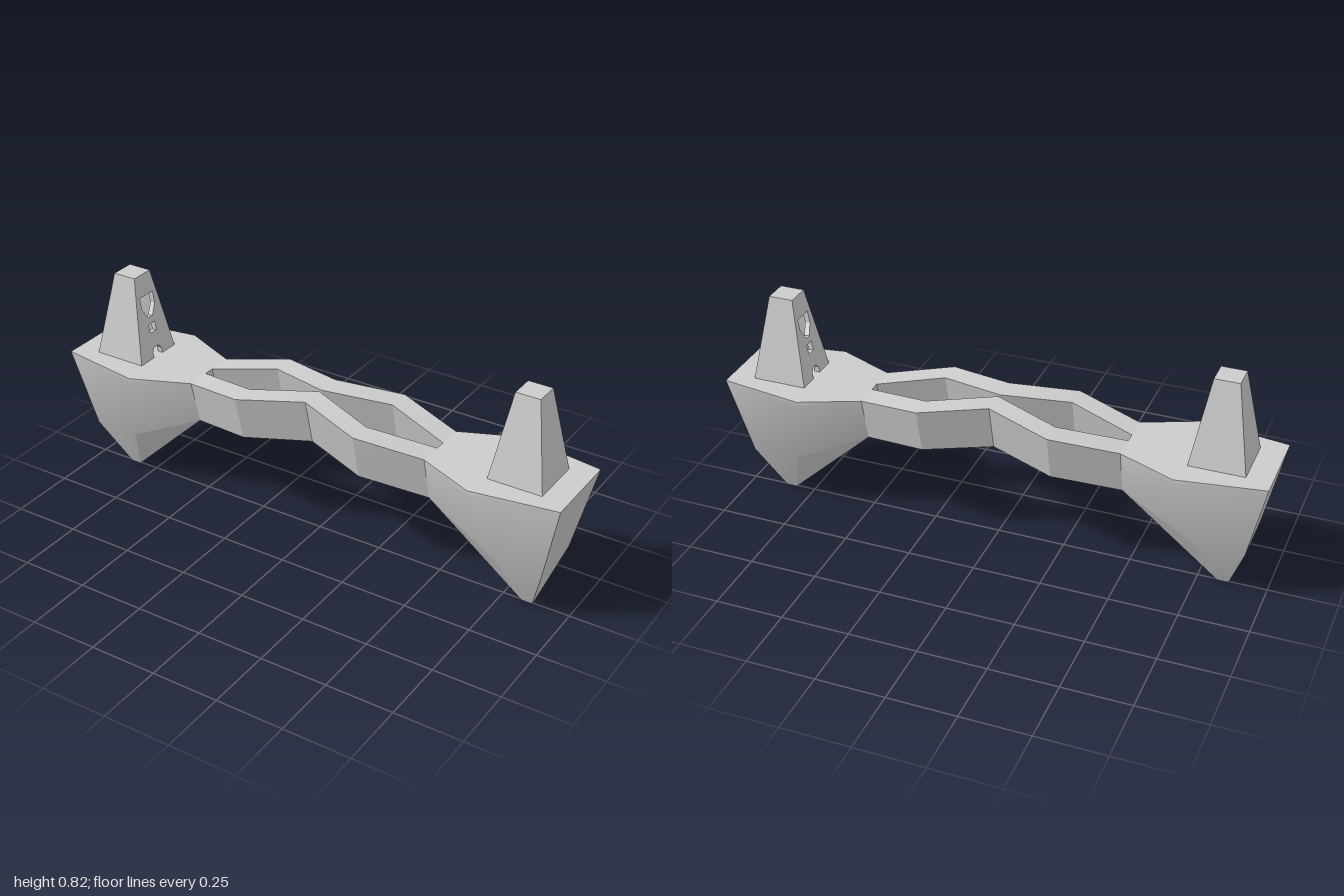
import * as THREE from 'three';
import { toCreasedNormals } from 'three/addons/utils/BufferGeometryUtils.js';

const material = new THREE.MeshStandardMaterial({ color: 0xcccccc, side: THREE.DoubleSide });
const DECK = 0.505;

// Mesh from a list of triangles, keeping sharp edges above the crease angle
function facetMesh(name, triangles, crease = 0.6) {
  const geometry = new THREE.BufferGeometry();
  geometry.setAttribute('position', new THREE.Float32BufferAttribute(triangles.flat(2), 3));
  const mesh = new THREE.Mesh(toCreasedNormals(geometry, crease), material);
  mesh.name = name;
  return mesh;
}

const quad = (a, b, c, d) => [[a, b, c], [a, c, d]];
const flip = ([x, y, z]) => [x, y, -z];
const mirrored = (triangles) =>
  [...triangles, ...triangles.map(([a, b, c]) => [flip(a), flip(c), flip(b)])];
// Strip across z between an edge and its mirror image
const across = (a, b) => quad(a, flip(a), flip(b), b);

// Floating rock: two mirrored flanks, a deck, an outer end and an overhanging underside
function createIsland() {
  const p0 = [1, DECK, 0.152], p1 = [0.69, DECK, 0.2], p2 = [0.48, DECK, 0.11];
  const lip = [0.69, 0.487, 0.2], p3 = [0.48, 0.33, 0.065];
  const q0 = [0.932, 0.2, 0.104], q1 = [0.757, 0.2, 0.104];
  const t0 = [0.863, 0, 0.006], t1 = [0.823, 0, 0.006];
  const island = new THREE.Group();
  island.name = 'island';
  island.add(
    facetMesh('islandFlanks', mirrored([
      [p0, p1, lip], [p0, lip, q0], [lip, q1, q0], [lip, p3, q1],
      [p1, p2, lip], [p2, p3, lip], ...quad(q0, q1, t1, t0),
    ]), 0.8),
    facetMesh('islandDeck', [...across(p0, p1), ...across(p1, p2)]),
    facetMesh('islandOuterEnd', [...across(t0, q0), ...across(q0, p0)]),
    facetMesh('islandUnderside', [
      ...mirrored([[p3, t1, q1]]),
      ...across(p2, p3), ...across(p3, t1), ...across(t1, t0),
    ], 0.2),
  );
  return island;
}

// Hollow tapered tower with openings in the face towards the bridge
function createTower() {
  const tower = new THREE.Group();
  tower.name = 'tower';
  const cx = 0.81, top = 0.82, wide = 0.1, narrow = 0.045;
  const corner = (sx, sz, up) => {
    const r = up ? narrow : wide;
    return [cx + sx * r, up ? top : DECK, sz * r];
  };
  const side = (a, b) => quad(corner(...a, 0), corner(...b, 0), corner(...b, 1), corner(...a, 1));
  tower.add(facetMesh('towerWalls', [
    ...side([-1, 1], [1, 1]),
    ...side([1, 1], [1, -1]),
    ...side([1, -1], [-1, -1]),
    ...quad(corner(-1, 1, 1), corner(1, 1, 1), corner(1, -1, 1), corner(-1, -1, 1)),
  ], 0.1));

  // Pierced wall, drawn flat and then leaned into place
  const height = Math.hypot(top - DECK, wide - narrow);
  const outline = (points) => points.map(([x, y]) => new THREE.Vector2(x, y));
  const face = new THREE.Shape(outline([
    [-wide, 0], [-0.025, 0], [-0.025, 0.022], [-0.012, 0.037], [0.012, 0.037],
    [0.025, 0.022], [0.025, 0], [wide, 0], [narrow, height], [-narrow, height],
  ]));
  face.holes.push(
    new THREE.Path(outline([[-0.037, 0.195], [-0.037, 0.24], [0.037, 0.24],
      [0.037, 0.195], [0.012, 0.155], [-0.012, 0.155]])),
    new THREE.Path(outline([[-0.018, 0.095], [-0.018, 0.13], [0.018, 0.13], [0.018, 0.095]])),
  );
  const geometry = new THREE.ExtrudeGeometry(face, { depth: 0.02, bevelEnabled: false });
  geometry.translate(0, 0, -0.02);
  geometry.rotateX(-Math.atan2(wide - narrow, top - DECK));
  geometry.rotateY(-Math.PI / 2);
  geometry.translate(cx - wide, DECK, 0);
  const wall = new THREE.Mesh(geometry, material);
  wall.name = 'towerWindowWall';
  tower.add(wall);
  return tower;
}

// One zigzag half of the split bridge, lofted through wedge sections with the keel at mid-width
function createBridgeArm() {
  const half = [
    [0, 0.39, 0.57, 0.006, 0.096],
    [0.24, 0.37, 0.545, 0.088, 0.175],
    [0.48, 0.33, DECK, 0.02, 0.11],
  ];
  const stations = [
    ...half.slice(1).reverse().map(([x, ...rest]) => [-x, ...rest]),
    ...half,
  ];
  const sections = stations.map(([x, low, high, inner, outer]) =>
    [[x, low, (inner + outer) / 2], [x, high, outer], [x, high, inner]]);
  const triangles = [];
  for (let i = 0; i < sections.length - 1; i++) {
    const a = sections[i], b = sections[i + 1];
    for (let j = 0; j < 3; j++) {
      const k = (j + 1) % 3;
      triangles.push(...quad(a[j], b[j], b[k], a[k]));
    }
  }
  return facetMesh('bridgeArm', triangles, 0.5);
}

export function createModel() {
  const model = new THREE.Group();
  model.name = 'islandBridge';
  // Both ends and both arms repeat under a half turn
  ['left', 'right'].forEach((label, i) => {
    const end = new THREE.Group();
    end.name = label + 'End';
    end.add(createIsland(), createTower());
    end.rotation.y = i * Math.PI;
    const arm = createBridgeArm();
    arm.name = i ? 'backBridgeArm' : 'frontBridgeArm';
    arm.rotation.y = i * Math.PI;
    model.add(end, arm);
  });
  return model;
}
